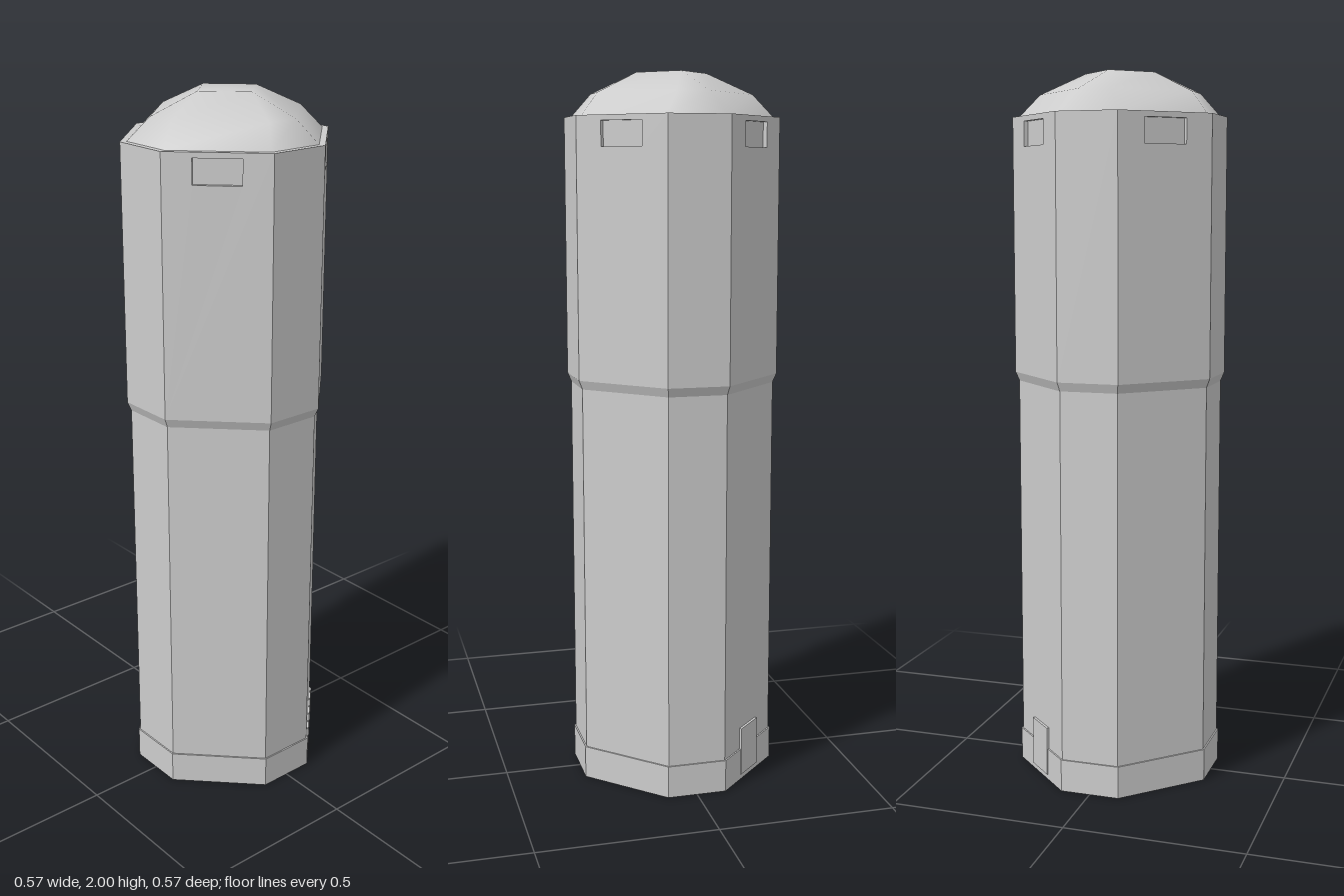
import * as THREE from 'three';
import { mergeVertices } from 'three/addons/utils/BufferGeometryUtils.js';

const H = 0.287, K = 0.086;            // half width and half length of the short sides
const UPPER_Y = 1.165, RIM_Y = 1.88;
const diagonal = (h, k) => (h + k) / Math.SQRT2;

// Chamfered square with eight corners, counter-clockwise from the front side
const octagon = ([h, k, y]) =>
  [[-k, h], [k, h], [h, k], [h, -k], [k, -h], [-k, -h], [-h, -k], [-h, k]]
    .map(([x, z]) => new THREE.Vector3(x, y, z));

// Skin a stack of [half width, half short side, height] rings
function loft(rings, smooth = false) {
  const points = [];
  const triangle = (a, b, c) => {
    if (a.distanceTo(b) > 1e-6 && b.distanceTo(c) > 1e-6 && c.distanceTo(a) > 1e-6) points.push(a, b, c);
  };
  for (let r = 0; r < rings.length - 1; r++) {
    const a = octagon(rings[r]), b = octagon(rings[r + 1]);
    for (let i = 0; i < 8; i++) {
      const j = (i + 1) % 8;
      triangle(a[i], a[j], b[j]);
      triangle(a[i], b[j], b[i]);
    }
  }
  let geometry = new THREE.BufferGeometry().setFromPoints(points);
  if (smooth) geometry = mergeVertices(geometry);
  geometry.computeVertexNormals();
  return geometry;
}

function rectangle(Type, width, y0, y1) {
  const w = width / 2;
  return new Type([[-w, y0], [w, y0], [w, y1], [-w, y1]].map(p => new THREE.Vector2(...p)));
}

// Open box whose walls face inward
function recess(width, height, depth) {
  const box = new THREE.BoxGeometry(width, height, depth);
  box.scale(1, 1, -1);
  box.setIndex(Array.from(box.index.array).slice(0, 30));
  box.clearGroups();
  const geometry = box.toNonIndexed();
  geometry.computeVertexNormals();
  return geometry;
}

export function createModel() {
  const model = new THREE.Group();
  model.name = 'octagonalPillar';
  const grey = new THREE.MeshStandardMaterial({ color: 0xcccccc });
  grey.name = 'lightGrey';

  const add = (name, geometry, parent = model) => {
    const mesh = new THREE.Mesh(geometry, grey);
    mesh.name = name;
    parent.add(mesh);
    return mesh;
  };

  // Plinth, shaft and the flare under the upper section
  add('plinth', loft([[0, 0, 0], [0.281, 0.084, 0], [0.281, 0.084, 0.092], [0.277, 0.082, 0.092]]));
  add('shaft', loft([[0.277, 0.082, 0.092], [0.277, 0.082, 1.14], [H, K, UPPER_Y]]));

  // Upper section: eight panels, the diagonal ones with a recessed slot
  const slotWidth = 0.127, slotLow = 1.797, slotHigh = 1.865, slotDepth = 0.012;
  for (let i = 0; i < 8; i++) {
    const isDiagonal = i % 2 === 1;
    const side = new THREE.Group();
    side.name = 'upperSide' + (i + 1);
    side.rotation.y = i * Math.PI / 4;
    model.add(side);
    const distance = isDiagonal ? diagonal(H, K) : H;
    const panel = rectangle(THREE.Shape, isDiagonal ? (H - K) * Math.SQRT2 : 2 * K, UPPER_Y, RIM_Y);
    if (isDiagonal) {
      panel.holes.push(rectangle(THREE.Path, slotWidth, slotLow, slotHigh));
      add('slotRecess', recess(slotWidth, slotHigh - slotLow, slotDepth), side)
        .position.set(0, (slotLow + slotHigh) / 2, distance - slotDepth / 2);
    }
    add('upperPanel', new THREE.ShapeGeometry(panel), side).position.z = distance;
  }

  // Flat rim and faceted dome with smooth shading
  add('rim', loft([[H, K, RIM_Y], [0.27, 0.08, RIM_Y]]));
  add('dome', loft([[0.27, 0.08, RIM_Y], [0.22, 0.045, 1.942], [0.1, 0, 2], [0, 0, 2]], true));

  // Small hatch on the back diagonal side
  const hatchSide = new THREE.Group();
  hatchSide.name = 'hatchSide';
  hatchSide.rotation.y = 5 * Math.PI / 4;
  model.add(hatchSide);
  add('hatch', new THREE.BoxGeometry(0.097, 0.14, 0.009), hatchSide)
    .position.set(0, 0.085, diagonal(0.281, 0.084) - 0.0015);

  return model;
}
